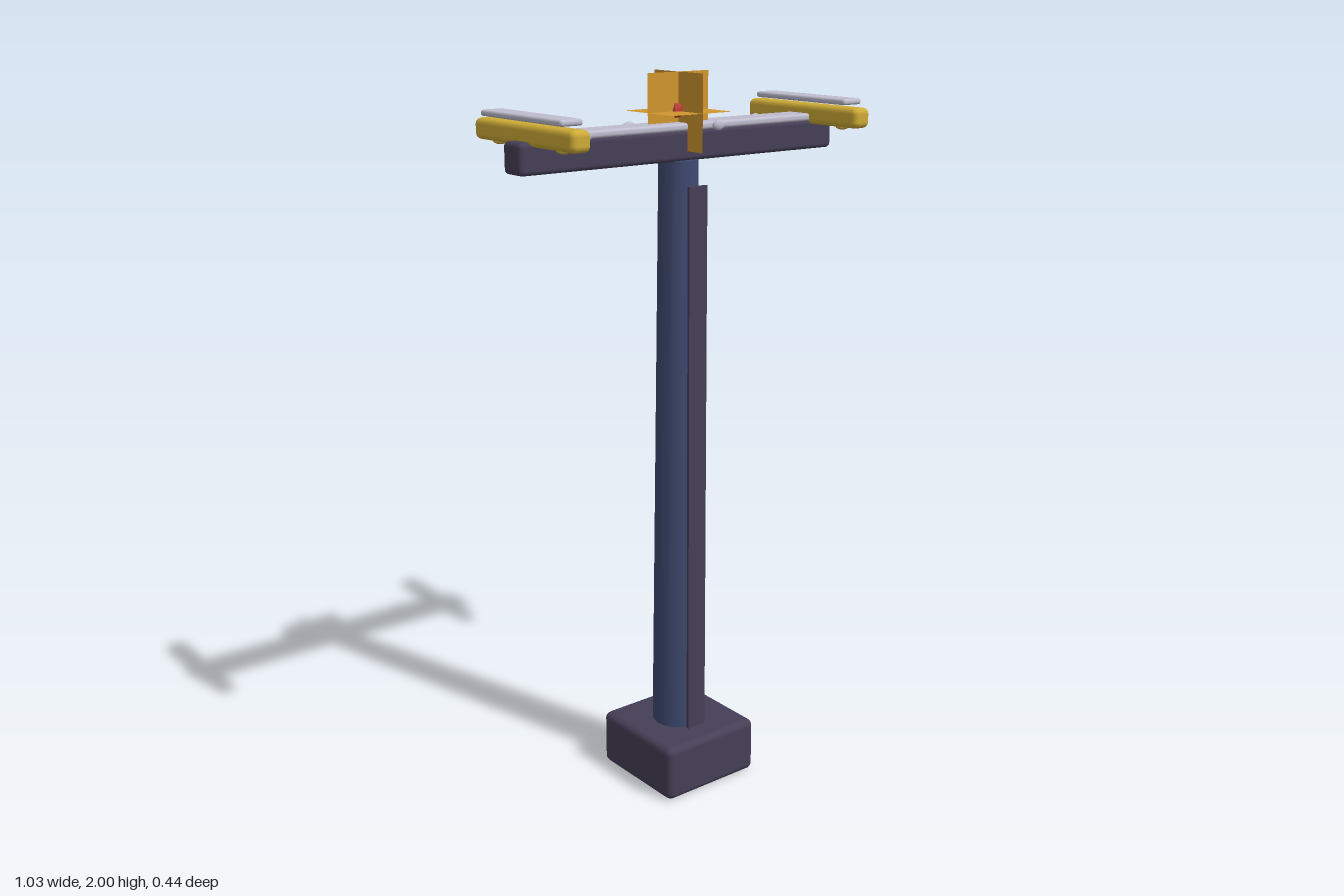
import * as THREE from 'three';
import { RoundedBoxGeometry } from 'three/addons/geometries/RoundedBoxGeometry.js';

function material(name, color, extra = {}) {
  const m = new THREE.MeshStandardMaterial({ color, ...extra });
  m.name = name;
  return m;
}

export function createModel() {
  const model = new THREE.Group();
  model.name = 'lampPost';

  const darkWood = material('dark wood', 0x463f57);
  const paint = material('blue paint', 0x3f4a70);
  const snow = material('snow', 0xbfbdce);
  const brass = material('yellow brass', 0xcfac37);
  const glow = material('orange glow', 0xd0952e, { side: THREE.DoubleSide });
  const ember = material('red bulb', 0xc0413a, { flatShading: true });

  function add(name, geometry, mat, x = 0, y = 0, z = 0, parent = model) {
    const mesh = new THREE.Mesh(geometry, mat);
    mesh.name = name;
    mesh.position.set(x, y, z);
    parent.add(mesh);
    return mesh;
  }
  const rounded = (w, h, d, r) => new RoundedBoxGeometry(w, h, d, 2, r);

  // Foot and tapered post
  add('base', rounded(0.315, 0.16, 0.315, 0.02), darkWood, 0, 0.08, 0);
  add('post', new THREE.CylinderGeometry(0.053, 0.078, 1.775, 16), paint, 0, 0.8895, 0);

  // Thin strip standing in front of the post
  add('frontStrip', new THREE.BoxGeometry(0.06, 1.565, 0.008), darkWood, 0, 0.9325, 0.08);

  // Cross beam with its snow cover
  add('crossBeam', rounded(1.03, 0.08, 0.078, 0.012), darkWood, 0, 1.815, 0);
  add('beamSnow', rounded(0.94, 0.02, 0.084, 0.008), snow, 0, 1.862, -0.002);

  // Small lumps of snow along the beam edges
  const lumps = [[-0.125, -0.047, 0.022], [-0.325, 0.044, 0.02], [0.1, 0.044, 0.02], [0.307, -0.047, 0.017]];
  for (const [x, z, r] of lumps) {
    const lump = add('snowLump', new THREE.SphereGeometry(r, 12, 8), snow, x, 1.862, z);
    lump.scale.set(1, 0.7, 0.45);
  }

  // Yellow end bars, each with a snow cap and two small studs below
  for (const side of [1, -1]) {
    const end = new THREE.Group();
    end.name = side > 0 ? 'leftEndBar' : 'rightEndBar';
    end.position.x = side * 0.457;
    add('bar', rounded(0.058, 0.054, 0.436, 0.016), brass, 0, 1.87, 0, end);
    add('barSnow', rounded(0.066, 0.016, 0.356, 0.007), snow, 0, 1.911, 0, end);
    for (const z of [-0.14, 0.14]) {
      const stud = add('stud', new THREE.SphereGeometry(0.018, 10, 6), brass, 0, 1.843, z, end);
      stud.scale.y = 0.45;
    }
    model.add(end);
  }

  // Glow made of three crossing square panels around a faceted bulb
  const panel = new THREE.PlaneGeometry(0.2, 0.2);
  add('glowFront', panel, glow, 0, 1.9, 0);
  add('glowSide', panel, glow, 0, 1.9, 0).rotation.y = Math.PI / 2;
  add('glowFlat', panel, glow, 0, 1.9, 0).rotation.x = -Math.PI / 2;
  add('bulb', new THREE.IcosahedronGeometry(0.022, 0), ember, 0, 1.902, 0);

  return model;
}
